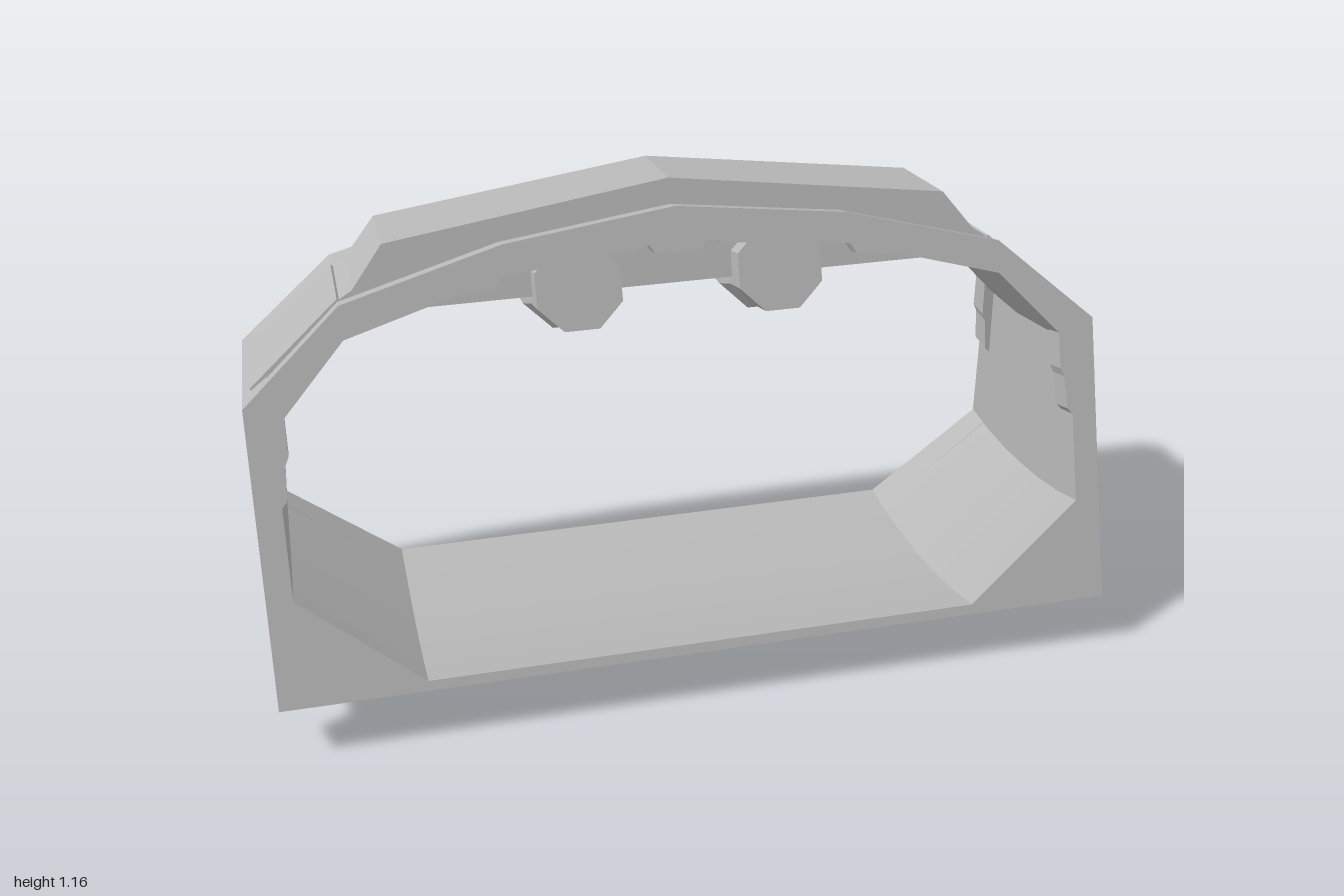
import * as THREE from 'three';

// The tunnel section bends about a horizontal axis above its back end.
const R = 2.193, Z0 = -0.375, BEND = 20;

function bend(x, h, deg) {
  const t = THREE.MathUtils.degToRad(deg), r = R - h;
  return [x, R - r * Math.cos(t), Z0 + r * Math.sin(t)];
}

// Sweep a closed (x, height) section through the listed angles.
// section is a point list, or a function giving one for each step.
function sweep(section, angles) {
  const rings = angles.map((a, i) => {
    let pts = (typeof section === 'function' ? section(i) : section).map(([x, h]) => new THREE.Vector2(x, h));
    if (THREE.ShapeUtils.isClockWise(pts)) pts = pts.reverse();
    return { pts, pos: pts.map((p) => bend(p.x, p.y, a)) };
  });
  const out = [];
  const tri = (a, b, c) => out.push(...a, ...b, ...c);
  for (let s = 0; s < rings.length - 1; s++) {
    const p = rings[s].pos, q = rings[s + 1].pos;
    for (let i = 0; i < p.length; i++) {
      const j = (i + 1) % p.length;
      tri(p[i], p[j], q[j]);
      tri(p[i], q[j], q[i]);
    }
  }
  const first = rings[0].pos, last = rings[rings.length - 1].pos;
  for (const [a, b, c] of THREE.ShapeUtils.triangulateShape(rings[0].pts, [])) {
    tri(first[a], first[c], first[b]);
    tri(last[a], last[b], last[c]);
  }
  const g = new THREE.BufferGeometry();
  g.setAttribute('position', new THREE.Float32BufferAttribute(out, 3));
  g.computeVertexNormals();
  return g;
}

const steps = (a, b, n) => Array.from({ length: n + 1 }, (_, i) => a + (b - a) * i / n);
const flip = (pts) => pts.map(([x, h]) => [-x, h]);
const bothSides = (half) => [...half, ...flip(half).reverse().filter(([x]) => x !== 0)];

export function createModel() {
  const model = new THREE.Group();
  model.name = 'curvedTunnelSection';
  const grey = new THREE.MeshStandardMaterial({ color: 0xb8b8b8, side: THREE.DoubleSide });
  grey.name = 'paleGrey';

  const add = (name, section, angles) => {
    const mesh = new THREE.Mesh(sweep(section, angles), grey);
    mesh.name = name;
    model.add(mesh);
  };
  const addPair = (name, section, angles) => {
    add('left' + name, section, angles);
    add('right' + name, flip(section), angles);
  };

  // Floor bar and the thin sloping sheets beside it
  add('floor', [[-0.66, 0], [0.66, 0], [0.66, 0.024], [-0.66, 0.024]], steps(0, BEND, 6));
  addPair('FloorSlope', [[0.66, 0.02], [0.945, 0.248], [0.945, 0.252], [0.66, 0.024]], steps(0, BEND, 6));

  // Side walls, raised above the open lower pockets
  addPair('Wall', [[0.94, 0.078], [1, 0.078], [1, 0.695], [0.94, 0.74], [0.917, 0.66], [0.94, 0.64]], [0, BEND]);

  // Roof arch
  const arch = bothSides([[1, 0.695], [0.77, 0.902], [0.4, 1.002], [0, 1.052]]);
  const underArch = bothSides([[0.917, 0.662], [0.767, 0.825], [0.4, 0.93], [0, 0.977]]);
  add('roofArch', [...arch, ...underArch.reverse()], [0, 3.5, 10, 17, BEND]);

  // Raised roof housing and the sloping side panels
  add('roofHousing', bothSides([[0.72, 0.87], [0.765, 0.907], [0.735, 0.925], [0.66, 1.022], [0, 1.112]]), [3.5, 17]);
  addPair('RoofPanel', [[0.98, 0.70], [0.98, 0.728], [0.77, 0.909], [0.74, 0.88]], [3.4, 17]);

  // Details on the front and back end frames
  for (const [end, a, b] of [['Back', 0, 2.3], ['Front', 17.8, BEND]]) {
    addPair(end + 'Gusset', [[0.66, 0], [1, 0], [1, 0.25], [0.94, 0.25], [0.66, 0.024]], [a, b]);
    addPair(end + 'WallBracket', [[0.945, 0.46], [0.927, 0.48], [0.922, 0.56], [0.913, 0.58],
      [0.913, 0.67], [0.945, 0.69]], [a, b]);
    addPair(end + 'RoofClip', [[0.52, 0.93], [0.5, 0.895], [0.42, 0.905], [0.39, 0.96]], [a, b]);
    add(end.toLowerCase() + 'CentreClip', [[-0.08, 0.99], [-0.055, 0.95], [0.055, 0.95], [0.08, 0.99]], [a, b]);
    // Lamp mounting shoulders
    addPair(end + 'LampMount', [[0.4, 0.95], [0.37, 0.935], [0.1, 0.96], [0.09, 0.985]], [a, b]);
  }

  // Eight-sided lamps hanging below the roof
  const radii = [0.106, 0.106, 0.122, 0.122, 0.106, 0.106];
  for (const side of [1, -1]) {
    add(side > 0 ? 'leftLamp' : 'rightLamp', (i) => Array.from({ length: 8 }, (_, k) => {
      const t = (k + 0.5) * Math.PI / 4;
      return [side * 0.235 + radii[i] * Math.cos(t), 0.89 + radii[i] * Math.sin(t)];
    }), [0, 4, 6, 14, 16, BEND]);
  }
  return model;
}
